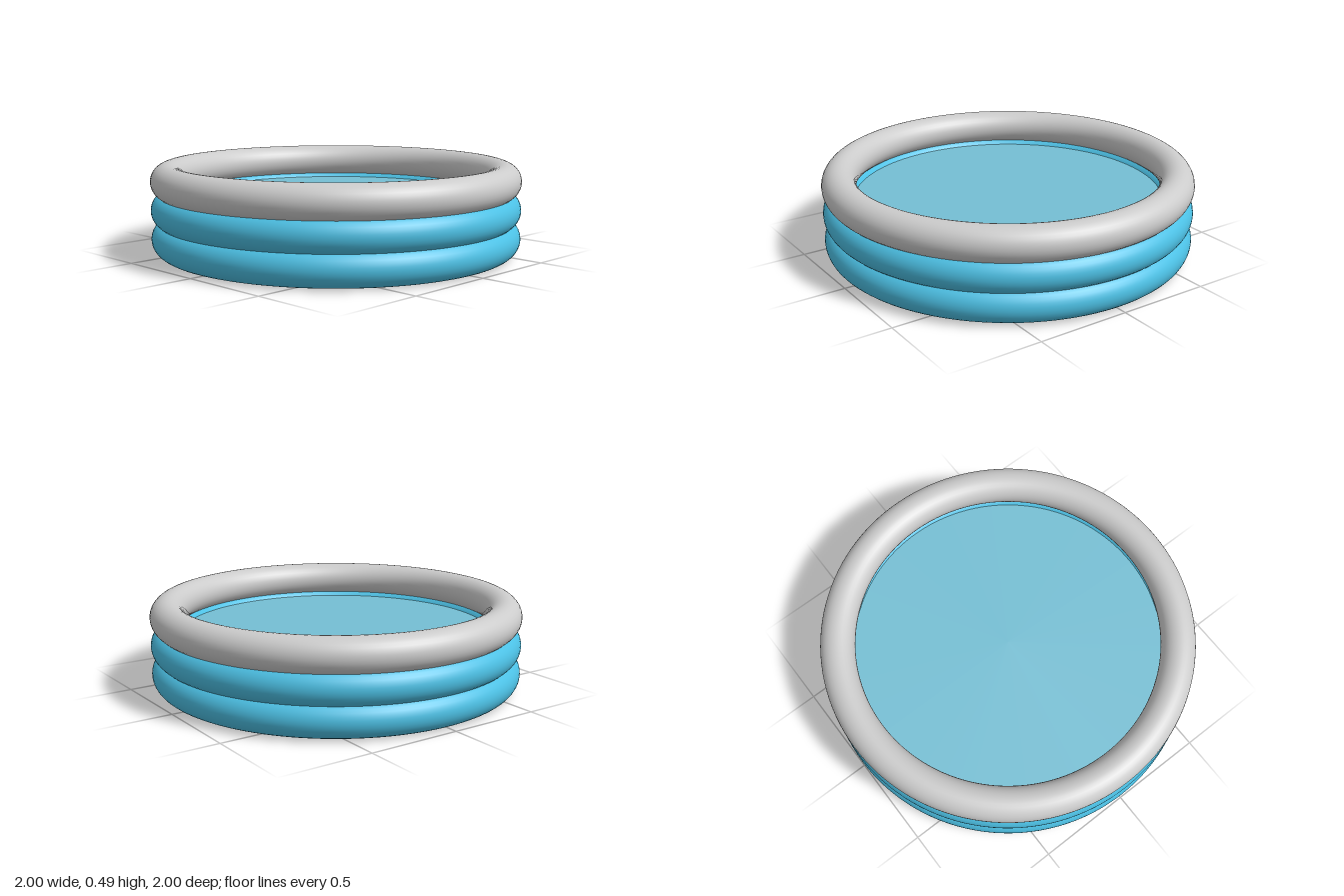
import * as THREE from 'three';

const TUBE = 0.0925;          // radius of each inflated ring
const RING = 1 - TUBE;        // centre-line radius
const STEP = 0.154;           // spacing of the stacked rings

export function createModel() {
  const group = new THREE.Group();
  const add = (name, geometry, color, y) => {
    const mesh = new THREE.Mesh(geometry, new THREE.MeshStandardMaterial({ color }));
    mesh.name = name;
    mesh.position.y = y;
    group.add(mesh);
  };

  // Three overlapping inflated rings, the top one grey
  const ring = new THREE.TorusGeometry(RING, TUBE, 32, 128).rotateX(Math.PI / 2);
  const blue = 0x4cc0e4;
  [['lowerRing', blue], ['middleRing', blue], ['topRing', 0xcccccc]].forEach(([name, color], i) =>
    add(name, ring, color, TUBE + i * STEP));

  // Body of water, whose underside closes the floor
  const bottom = 0.003, level = 0.303;
  add('water', new THREE.CylinderGeometry(0.883, 0.883, level - bottom, 128), 0x75bfd4, (bottom + level) / 2);

  return group;
}
